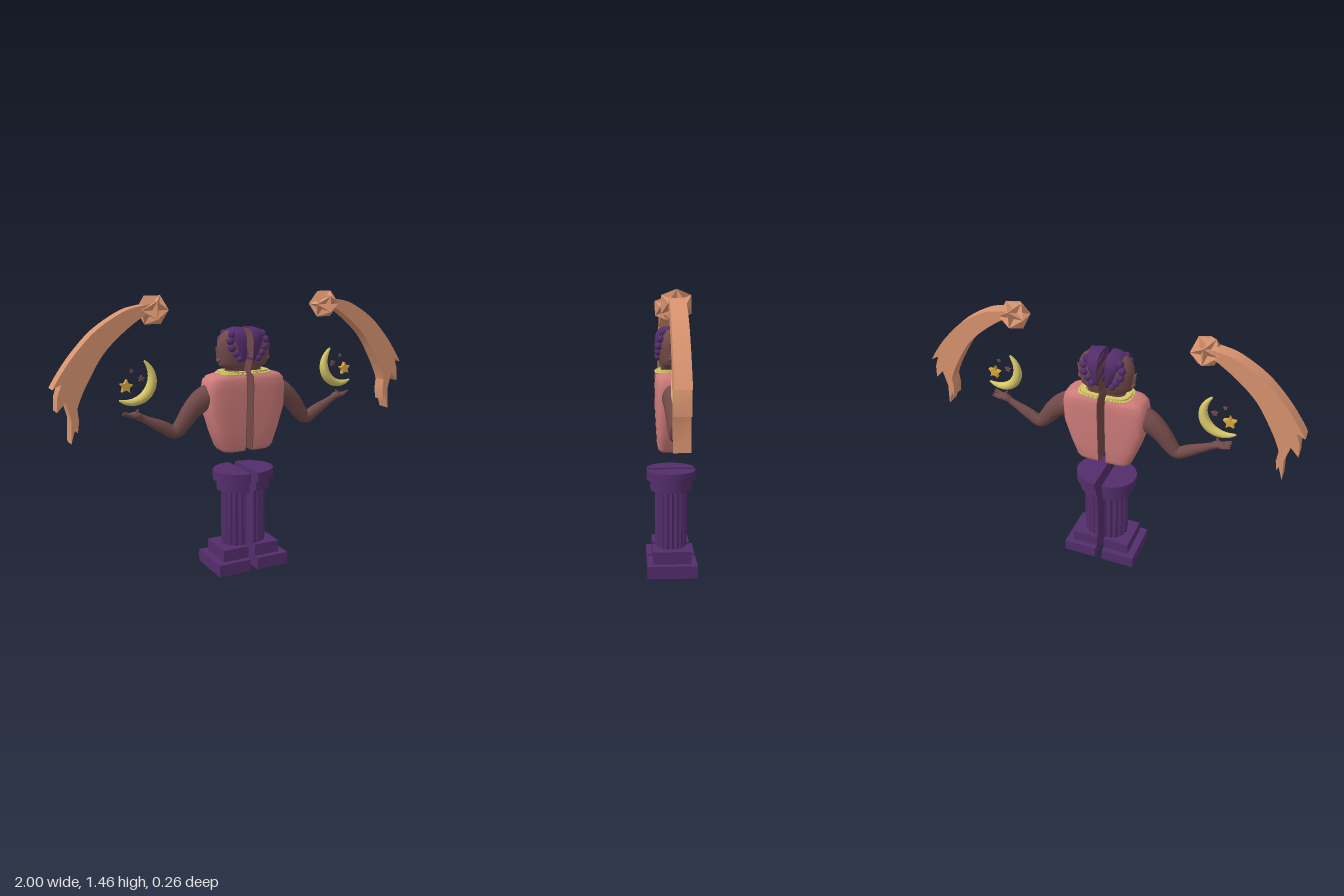
import * as THREE from 'three';
import { toCreasedNormals } from 'three/addons/utils/BufferGeometryUtils.js';

const paint = (name, color) => {
  const m = new THREE.MeshStandardMaterial({ color });
  m.name = name;
  return m;
};
const CUT = 0.02; // inner plane where each half is sliced

// Skin a list of closed rings and cap both ends
function loft(rings) {
  const n = rings[0].length, pos = rings.flat().flatMap(v => [v.x, v.y, v.z]), idx = [];
  for (let i = 0; i + 1 < rings.length; i++) {
    for (let j = 0; j < n; j++) {
      const a = i * n + j, b = i * n + (j + 1) % n;
      idx.push(a, b, b + n, a, b + n, a + n);
    }
  }
  const cap = (ring, start, flip) => {
    const c = ring.reduce((s, v) => s.add(v), new THREE.Vector3()).divideScalar(n);
    const k = pos.length / 3;
    pos.push(c.x, c.y, c.z);
    for (let j = 0; j < n; j++) {
      const a = start + j, b = start + (j + 1) % n;
      idx.push(k, flip ? b : a, flip ? a : b);
    }
  };
  cap(rings[0], 0, true);
  cap(rings.at(-1), (rings.length - 1) * n, false);
  const g = new THREE.BufferGeometry();
  g.setAttribute('position', new THREE.Float32BufferAttribute(pos, 3));
  g.setIndex(idx);
  return toCreasedNormals(g, 0.7);
}

// Stack of D-shaped sections; rows are [height, width, half depth]
function halfStack(rows, power = 1, n = 24, flute = 0) {
  return loft(rows.map(([y, w, d]) => Array.from({ length: n + 1 }, (_, k) => {
    const a = Math.PI * k / n, f = 1 - flute * Math.abs(Math.sin(10 * a));
    const s = Math.max(0, Math.sin(a)), c = Math.cos(a);
    return new THREE.Vector3(CUT + w * f * s ** power, y, d * f * Math.sign(c) * Math.abs(c) ** power);
  })));
}

// Tapering limb along [x, y, radius] points
function limb(points, depth = 1, steps = 24) {
  const path = new THREE.CatmullRomCurve3(points.map(p => new THREE.Vector3(...p)));
  const rings = [];
  for (let i = 0; i <= steps; i++) {
    const p = path.getPoint(i / steps), t = path.getTangent(i / steps);
    t.z = 0;
    t.normalize();
    rings.push(Array.from({ length: 14 }, (_, k) => {
      const a = k / 14 * Math.PI * 2, r = Math.max(p.z, 0.001), c = r * Math.cos(a);
      return new THREE.Vector3(p.x - t.y * c, p.y + t.x * c, r * depth * Math.sin(a));
    }));
  }
  return loft(rings);
}

function plate(points, depth) {
  const shape = new THREE.Shape(points.map(p => new THREE.Vector2(...p)));
  return new THREE.ExtrudeGeometry(shape, { depth, bevelEnabled: false }).translate(0, 0, -depth / 2);
}

function star(r, depth) {
  return plate(Array.from({ length: 10 }, (_, i) => {
    const a = Math.PI / 2 + i * Math.PI / 5 + 0.1, q = i % 2 ? r * 0.5 : r;
    return [q * Math.cos(a), q * Math.sin(a)];
  }), depth);
}

// Icosahedron with every face dented inward
function dentedStar(r) {
  const src = new THREE.IcosahedronGeometry(r, 0).getAttribute('position'), out = [];
  for (let i = 0; i < src.count; i += 3) {
    const v = [0, 1, 2].map(k => new THREE.Vector3().fromBufferAttribute(src, i + k));
    const c = v[0].clone().add(v[1]).add(v[2]).setLength(r * 0.57);
    for (let k = 0; k < 3; k++) for (const q of [v[k], v[(k + 1) % 3], c]) out.push(q.x, q.y, q.z);
  }
  const g = new THREE.BufferGeometry();
  g.setAttribute('position', new THREE.Float32BufferAttribute(out, 3));
  g.computeVertexNormals();
  return g;
}

function buildHalf(mat) {
  const half = new THREE.Group();
  const add = (name, geo, material, x = 0, y = 0, z = 0) => {
    const m = new THREE.Mesh(geo, material);
    m.name = name;
    m.position.set(x, y, z);
    half.add(m);
    return m;
  };

  // Pedestal
  add('plinth', new THREE.BoxGeometry(0.185, 0.065, 0.26), mat.purple, CUT + 0.0925, 0.0325);
  add('plinthStep', new THREE.BoxGeometry(0.145, 0.065, 0.2), mat.purple, CUT + 0.0725, 0.0975);
  add('flutedColumn', halfStack([[0.13, 0.104, 0.085], [0.435, 0.104, 0.085]], 1, 80, 0.1), mat.purple);
  add('capitalNeck', halfStack([[0.435, 0.128, 0.11], [0.49, 0.128, 0.11]]), mat.purple);
  add('capitalTop', halfStack([[0.49, 0.147, 0.13], [0.54, 0.147, 0.13]]), mat.purple);

  // Torso and its sliced inner face
  const torso = [[0.648, 0.11, 0.06], [0.655, 0.12, 0.068], [0.67, 0.133, 0.072], [0.76, 0.167, 0.077],
    [0.87, 0.2, 0.083], [0.98, 0.204, 0.084], [1.025, 0.195, 0.083], [1.045, 0.175, 0.077], [1.056, 0.14, 0.062]];
  add('torso', halfStack(torso, 0.45, 32), mat.rose);
  const edge = torso.map(([y, , d]) => [d, y]);
  const cut = plate([...edge, ...edge.map(([d, y]) => [-d, y]).reverse()], 0.003).rotateY(-Math.PI / 2);
  add('torsoCutFace', cut, mat.skin, CUT);

  // Head in profile, facing outward
  add('head', halfStack([[1.03, 0.085, 0.05], [1.075, 0.078, 0.05], [1.088, 0.1, 0.055], [1.097, 0.115, 0.058],
    [1.12, 0.121, 0.064], [1.15, 0.122, 0.07], [1.19, 0.125, 0.074], [1.22, 0.121, 0.075],
    [1.25, 0.105, 0.068], [1.27, 0.08, 0.055], [1.28, 0.045, 0.035]]), mat.skin);
  add('nose', new THREE.ConeGeometry(0.022, 0.06, 8).rotateZ(-0.45).scale(1, 1, 0.8), mat.skin, 0.145, 1.172);
  const lips = add('lips', new THREE.SphereGeometry(0.012, 12, 8), mat.skin, 0.141, 1.125);
  lips.scale.set(1, 1, 1.8);

  // Wavy hair with curls along its edge
  add('hair', halfStack([[1.112, 0.028, 0.058], [1.125, 0.036, 0.07], [1.15, 0.046, 0.079], [1.2, 0.068, 0.083],
    [1.235, 0.082, 0.082], [1.26, 0.081, 0.075], [1.278, 0.066, 0.058], [1.288, 0.035, 0.035]], 0.75), mat.purple);
  const curls = [[0.087, 1.255, 0.045, 0.02], [0.1, 1.225, 0.056, 0.02], [0.095, 1.19, 0.064, 0.02],
    [0.074, 1.16, 0.067, 0.018], [0.054, 1.133, 0.067, 0.017]];
  for (const s of [-1, 1]) {
    for (const [x, y, z, r] of curls) add('curl', new THREE.SphereGeometry(r, 14, 10), mat.purple, x, y, z * s);
  }

  // Beaded collar lying on the shoulders
  const outline = (w, d) => Array.from({ length: 25 }, (_, k) => {
    const a = Math.PI * k / 24, c = Math.cos(a);
    return [CUT + w * Math.max(0, Math.sin(a)) ** 0.6, d * Math.sign(c) * Math.abs(c) ** 0.6];
  });
  const band = plate([...outline(0.112, 0.074), ...outline(0.085, 0.052).reverse()], 0.018);
  add('collar', band.rotateX(-Math.PI / 2), mat.yellow, 0, 1.06);
  for (const [x, z] of outline(0.118, 0.078)) {
    add('collarBead', new THREE.SphereGeometry(0.007, 8, 6), mat.yellow, Math.max(x, CUT + 0.007), 1.056, z);
  }

  // Bent arm with an open hand
  add('arm', limb([[0.17, 0.95, 0.07], [0.235, 0.928, 0.062], [0.3, 0.873, 0.05], [0.345, 0.815, 0.042],
    [0.385, 0.778, 0.035], [0.455, 0.812, 0.031], [0.54, 0.856, 0.02], [0.575, 0.875, 0.018]], 0.85, 36), mat.skin);
  add('palm', limb([[0.555, 0.866, 0.013], [0.585, 0.882, 0.019], [0.62, 0.885, 0.012], [0.635, 0.888, 0.005]], 1.3), mat.skin);
  for (let i = 0; i < 4; i++) {
    const lift = 0.006 * i;
    add('finger', limb([[0.605, 0.882, 0.009], [0.632, 0.885 + lift / 2, 0.008], [0.655, 0.889 + lift, 0.004]], 0.8, 8),
      mat.skin, 0, 0, (i - 1.5) * 0.012);
  }
  add('thumb', limb([[0.59, 0.885, 0.011], [0.588, 0.9, 0.008], [0.578, 0.914, 0.004]], 1, 8), mat.skin, 0, 0, 0.008);

  // Crescent moon and little stars
  const moon = Array.from({ length: 17 }, (_, i) => {
    const t = i / 16, a = THREE.MathUtils.degToRad(121 + 190 * t);
    const r = 0.005 + 0.021 * Math.sin(Math.PI * t) ** 0.8;
    return [0.597 + (0.119 - r) * Math.cos(a), 1.05 + (0.119 - r) * Math.sin(a), r];
  });
  add('crescentMoon', limb(moon, 1, 40), mat.yellow);
  add('goldStar', star(0.035, 0.022), mat.gold, 0.636, 1.03);
  add('smallStar', star(0.018, 0.012), mat.skin, 0.557, 1.063);
  add('tinyStar', star(0.011, 0.01), mat.skin, 0.606, 1.104);

  // Shooting star with a ragged tail
  add('cometHead', dentedStar(0.08), mat.copper, 0.49, 1.39);
  const outer = new THREE.SplineCurve([[0.5, 1.42], [0.56, 1.413], [0.65, 1.388], [0.783, 1.307], [0.89, 1.2],
    [0.96, 1.108], [0.998, 1.048]].map(p => new THREE.Vector2(...p)));
  const inner = new THREE.SplineCurve([[0.887, 0.95], [0.872, 0.99], [0.837, 1.06], [0.757, 1.19], [0.66, 1.285],
    [0.553, 1.362], [0.5, 1.385]].map(p => new THREE.Vector2(...p)));
  const tips = [[0.955, 1.072], [0.978, 1.01], [0.982, 0.94], [0.94, 0.985], [0.918, 0.9], [0.924, 0.785],
    [0.9, 0.86], [0.89, 0.835], [0.882, 0.89]];
  const tail = [...outer.getPoints(24).map(p => [p.x, p.y]), ...tips, ...inner.getPoints(24).map(p => [p.x, p.y])];
  add('cometTail', toCreasedNormals(plate(tail, 0.074), 0.4), mat.copper);
  return half;
}

export function createModel() {
  const mat = {
    purple: paint('deep purple', 0x532d6b),
    rose: paint('rose', 0xce7c7a),
    skin: paint('brown skin', 0x714a48),
    yellow: paint('pale yellow', 0xd6c667),
    gold: paint('gold', 0xd8a840),
    copper: paint('copper', 0xd8936f),
  };
  const model = new THREE.Group();
  model.name = 'dividedBust';
  const left = buildHalf(mat), right = buildHalf(mat);
  left.name = 'leftHalf';
  right.name = 'rightHalf';
  right.scale.x = -1;
  model.add(left, right);
  return model;
}
